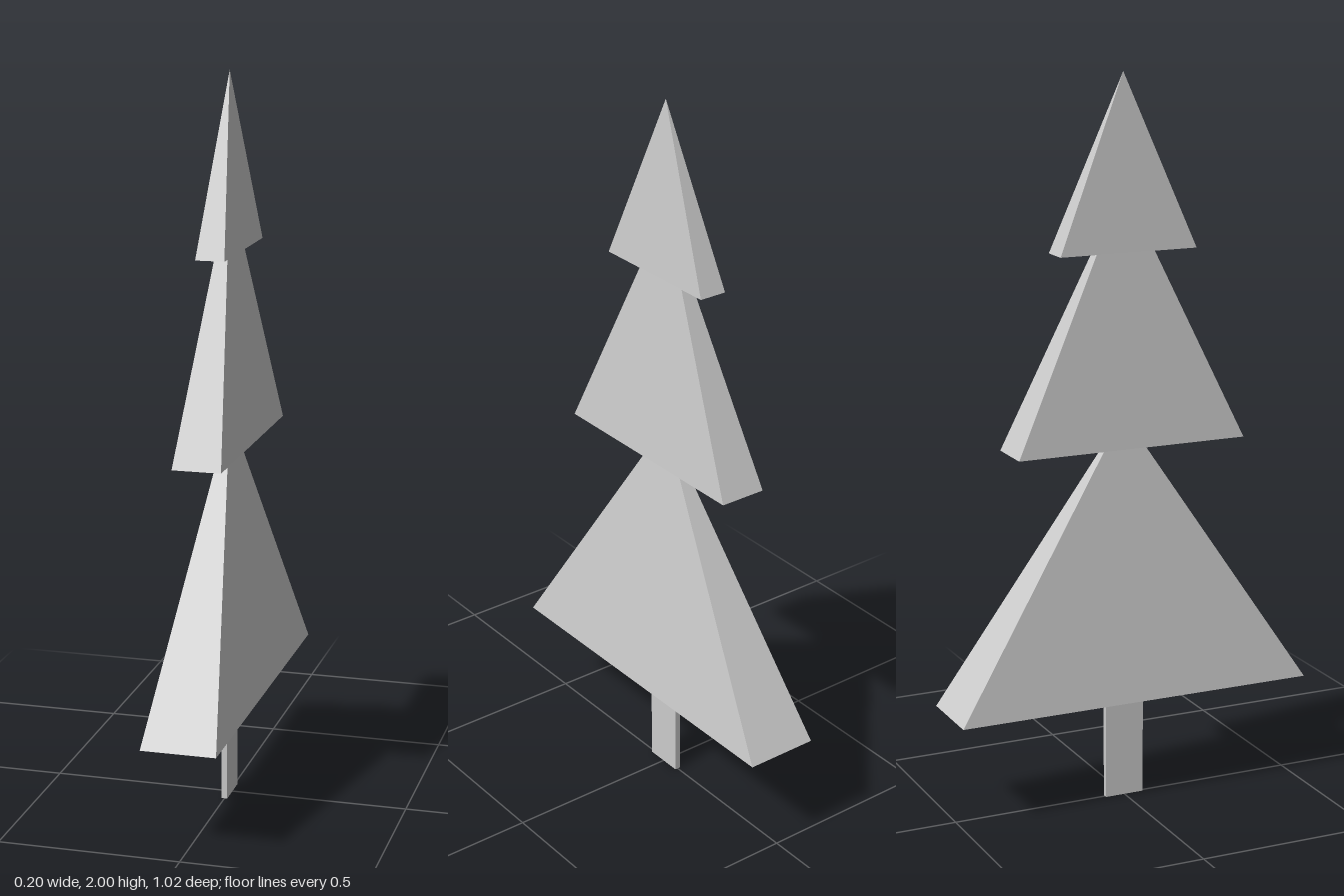
import * as THREE from 'three';

// Four-sided pyramid with a rectangular closed base, standing on y = base
function pyramid(halfX, halfZ, base, apex) {
  let g = new THREE.ConeGeometry(Math.SQRT2, 1, 4, 1);
  g.rotateY(Math.PI / 4);
  g.translate(0, 0.5, 0);
  g.scale(halfX, apex - base, halfZ);
  g.translate(0, base, 0);
  g = g.toNonIndexed();
  g.computeVertexNormals();
  return g;
}

export function createModel() {
  const tree = new THREE.Group();
  tree.name = 'flatTree';
  const grey = new THREE.MeshStandardMaterial({ color: 0xcccccc, flatShading: true });
  grey.name = 'light grey';

  const add = (name, geometry) => {
    const mesh = new THREE.Mesh(geometry, grey);
    mesh.name = name;
    tree.add(mesh);
  };

  // Thin plank trunk
  const trunk = new THREE.BoxGeometry(0.016, 0.302, 0.112);
  trunk.translate(0, 0.151, 0);
  add('trunk', trunk);

  // Overlapping foliage tiers: half width, half depth, base height, apex height
  add('lowerFoliage', pyramid(0.102, 0.512, 0.302, 1.087));
  add('middleFoliage', pyramid(0.066, 0.33, 1.005, 1.705));
  add('upperFoliage', pyramid(0.039, 0.197, 1.53, 2));

  return tree;
}
